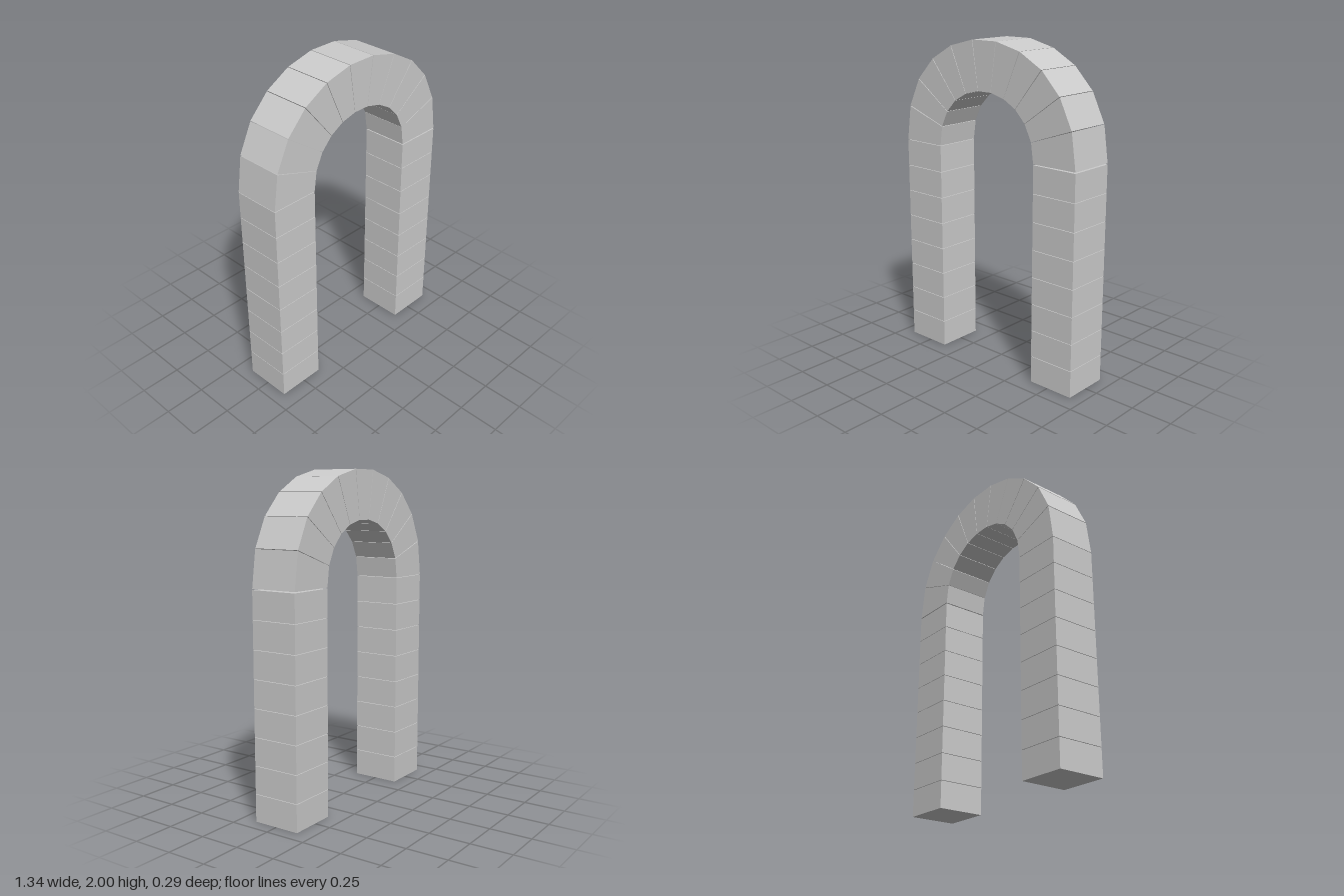
import * as THREE from 'three';

const OUTER = 0.668, INNER = 0.372;      // half widths of the arch
const SPRING = 1.34, DEPTH = 0.295;      // height of the legs, thickness in z
const LEG_BLOCKS = 8, ARCH_BLOCKS = 11, JOINT = 0.003;

export function createModel() {
  const group = new THREE.Group();
  const material = new THREE.MeshStandardMaterial({ color: 0xcccccc, flatShading: true });

  // One stone: a four-cornered outline given depth
  function addBlock(name, corners) {
    const shape = new THREE.Shape(corners);
    const geometry = new THREE.ExtrudeGeometry(shape, { depth: DEPTH, bevelEnabled: false });
    geometry.translate(0, 0, -DEPTH / 2);
    const mesh = new THREE.Mesh(geometry, material);
    mesh.name = name;
    group.add(mesh);
  }

  // Straight legs, stacked from equal blocks
  const step = SPRING / LEG_BLOCKS;
  for (const [side, s] of [['left', 1], ['right', -1]]) {
    for (let i = 0; i < LEG_BLOCKS; i++) {
      const y0 = i * step, y1 = y0 + step - JOINT;
      addBlock(`${side}LegBlock${i + 1}`, [
        new THREE.Vector2(s * INNER, y0), new THREE.Vector2(s * OUTER, y0),
        new THREE.Vector2(s * OUTER, y1), new THREE.Vector2(s * INNER, y1),
      ]);
    }
  }

  // Curved top: wedge stones between an outer and an inner curve
  const archCurve = (half, handle) => new THREE.CubicBezierCurve(
    new THREE.Vector2(-half, SPRING), new THREE.Vector2(-half, SPRING + handle),
    new THREE.Vector2(half, SPRING + handle), new THREE.Vector2(half, SPRING));
  const outer = archCurve(OUTER, 0.887).getPoints(ARCH_BLOCKS);
  const inner = archCurve(INNER, 0.495).getPoints(ARCH_BLOCKS);
  const inset = JOINT / 0.16;
  for (let i = 0; i < ARCH_BLOCKS; i++) {
    addBlock(`archStone${i + 1}`, [
      inner[i], outer[i],
      outer[i + 1].clone().lerp(outer[i], inset),
      inner[i + 1].clone().lerp(inner[i], inset),
    ]);
  }
  return group;
}
